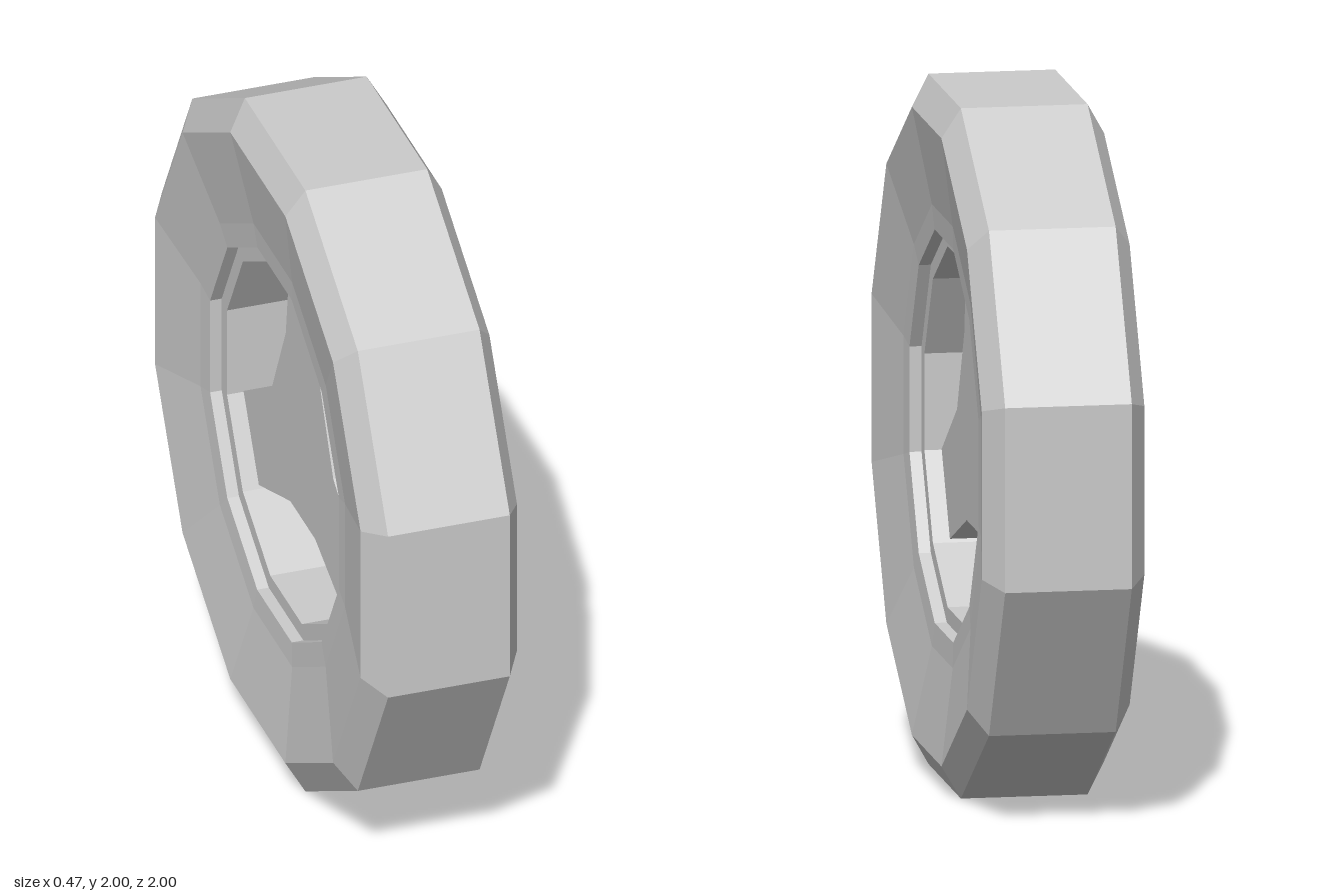
import * as THREE from 'three';

const SIDES = 12;
const CORNER = 1 / Math.cos(Math.PI / SIDES); // flat radius to corner radius

export function createModel() {
  const material = new THREE.MeshStandardMaterial({ color: 0xcccccc, flatShading: true });
  const wheel = new THREE.Group();
  wheel.name = 'wheel';

  // Ring sections: [flat radius, half width], from the bore out to the tread
  const rim = [[0.523, 0.15], [0.57, 0.15], [0.57, 0.185]];
  const tyre = [[0.57, 0.185], [0.64, 0.19], [0.91, 0.235], [1, 0.183]];

  // Turns a mirrored half section into a twelve-sided ring around the x axis
  function ring(name, section) {
    const right = section.map(([r, w]) => new THREE.Vector2(r * CORNER, w));
    const left = section.map(([r, w]) => new THREE.Vector2(r * CORNER, -w));
    const profile = [...left, ...right.reverse(), left[0].clone()];
    const geometry = new THREE.LatheGeometry(profile, SIDES, Math.PI / SIDES);
    geometry.rotateZ(-Math.PI / 2);
    const mesh = new THREE.Mesh(geometry, material);
    mesh.name = name;
    wheel.add(mesh);
  }
  ring('rim', rim);
  ring('tyre', tyre);

  // Three-armed spoke plate, one half of the outline mirrored
  const half = [[0.115, 0.53], [0.15, 0.27], [0.27, 0.025], [0.53, -0.142], [0.393, -0.375], [0.11, -0.267]];
  const outline = [...half, ...half.map(([x, y]) => [-x, y]).reverse()];
  const shape = new THREE.Shape(outline.map(([x, y]) => new THREE.Vector2(x, y)));
  const plate = new THREE.ExtrudeGeometry(shape, { depth: 0.2, bevelEnabled: false });
  plate.translate(0, 0, -0.1).rotateY(Math.PI / 2);
  const spokes = new THREE.Mesh(plate, material);
  spokes.name = 'spokes';
  wheel.add(spokes);

  wheel.position.y = 1;
  const model = new THREE.Group();
  model.name = 'wheelModel';
  model.add(wheel);
  return model;
}
